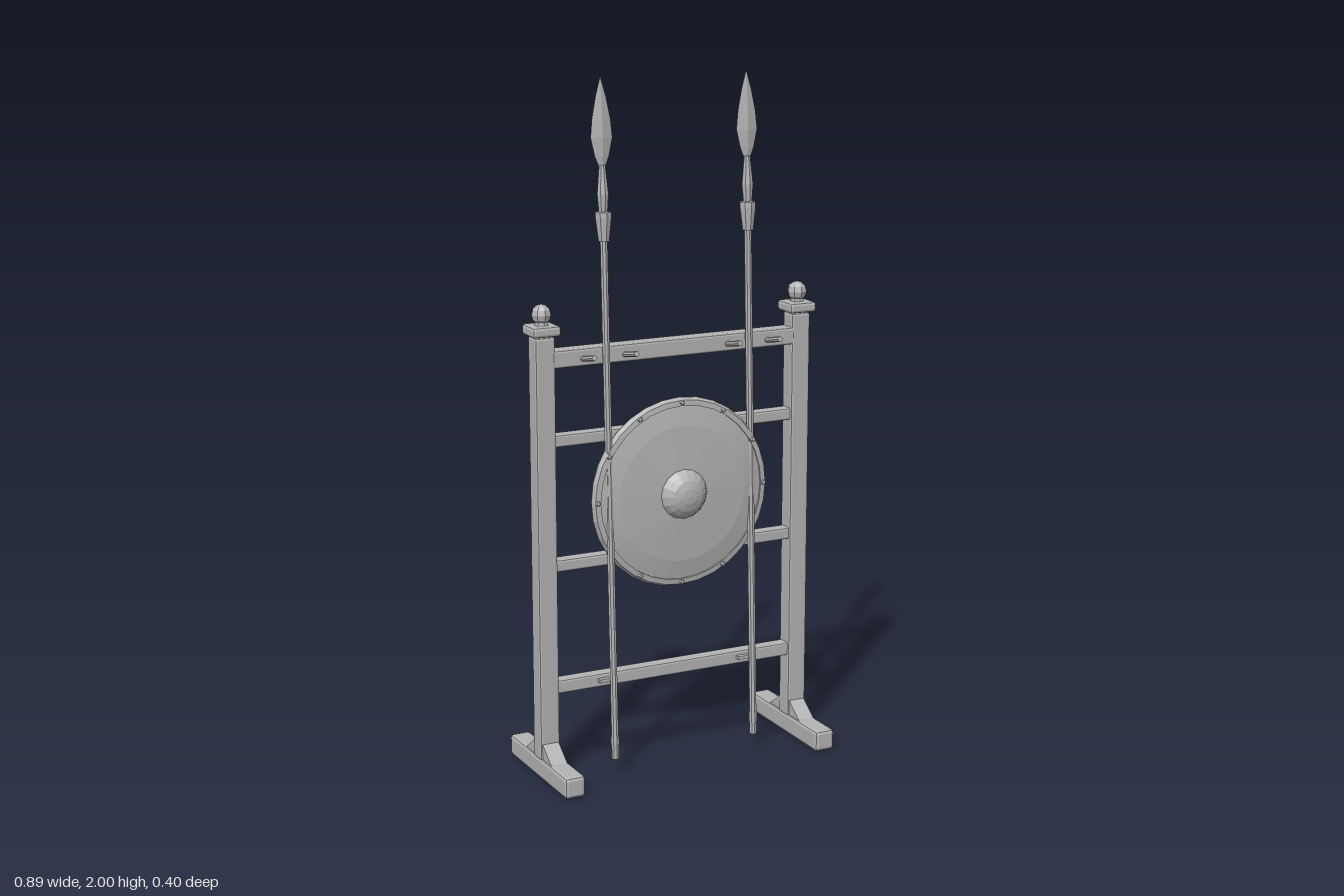
import * as THREE from 'three';
import { RoundedBoxGeometry } from 'three/addons/geometries/RoundedBoxGeometry.js';

const gray = new THREE.MeshStandardMaterial({ color: 0xb4b4b4, flatShading: true });
gray.name = 'plain gray';

function add(parent, name, geometry, x = 0, y = 0, z = 0) {
  const mesh = new THREE.Mesh(geometry, gray);
  mesh.name = name;
  mesh.position.set(x, y, z);
  parent.add(mesh);
  return mesh;
}

// Box with chamfered edges
const beam = (w, h, d, bevel = 0.007) => new RoundedBoxGeometry(w, h, d, 1, bevel);

// Revolved solid from [radius, height] pairs, bottom to top
const turned = (pairs, sides) =>
  new THREE.LatheGeometry(pairs.map(([r, y]) => new THREE.Vector2(r, y)), sides);

// Post with foot, braces, cap and ball finial
function createStand(x) {
  const stand = new THREE.Group();
  stand.name = 'stand';
  stand.position.x = x;
  add(stand, 'post', beam(0.06, 1.235, 0.056), 0, 0.675, 0);
  add(stand, 'foot', beam(0.062, 0.062, 0.4, 0.01), 0, 0.034, 0);
  const wedge = new THREE.Shape([
    new THREE.Vector2(0, 0), new THREE.Vector2(0.09, 0), new THREE.Vector2(0.025, 0.048), new THREE.Vector2(0, 0.048),
  ]);
  for (const side of [1, -1]) {
    const brace = new THREE.ExtrudeGeometry(wedge, { depth: 0.05, bevelEnabled: false });
    brace.translate(0, 0, -0.025);
    add(stand, 'brace', brace, 0, 0.062, 0).rotation.y = -side * Math.PI / 2;
  }
  add(stand, 'cap', beam(0.084, 0.03, 0.084, 0.008), 0, 1.31, 0);
  add(stand, 'finialNeck', new THREE.CylinderGeometry(0.018, 0.022, 0.015, 8), 0, 1.328, 0);
  add(stand, 'finial', new THREE.SphereGeometry(0.029, 8, 6), 0, 1.354, 0);
  return stand;
}

// Round shield, built facing +y and turned to face +z
function createShield() {
  const shield = new THREE.Group();
  shield.name = 'shield';
  shield.position.set(0, 0.81, 0);
  shield.rotation.x = Math.PI / 2;
  add(shield, 'board', turned([[0, 0.037], [0.268, 0.037], [0.262, 0.056], [0.2, 0.067], [0.07, 0.074], [0, 0.075]], 32));
  add(shield, 'rim', turned([[0.256, 0.037], [0.276, 0.037], [0.279, 0.046], [0.272, 0.06], [0.256, 0.062], [0.256, 0.037]], 32));
  // Central boss
  add(shield, 'boss', turned([[0.074, 0.07], [0.071, 0.078], [0.062, 0.091], [0.045, 0.103], [0.023, 0.11], [0, 0.112]], 16));
  // Rivets around the rim
  for (let i = 0; i < 12; i++) {
    const a = i * Math.PI / 6;
    add(shield, 'rivet', new THREE.SphereGeometry(0.008, 6, 4), 0.265 * Math.sin(a), 0.061, 0.265 * Math.cos(a));
  }
  return shield;
}

// Spear leaning on the rack, with its shaft along local y
function createSpear(x) {
  const spear = new THREE.Group();
  spear.name = 'spear';
  spear.position.set(x, 0.05, 0.083);
  spear.rotation.x = -0.037;
  add(spear, 'shaft', new THREE.CylinderGeometry(0.011, 0.011, 1.52, 8), 0, 0.76, 0);
  add(spear, 'buttCap', turned([[0, 0], [0.009, 0], [0.013, 0.05], [0.012, 0.07], [0, 0.07]], 8));
  add(spear, 'socket', turned([
    [0, 1.5], [0.016, 1.5], [0.024, 1.565], [0.024, 1.58], [0.013, 1.582],
    [0.017, 1.63], [0.011, 1.69], [0.009, 1.71], [0, 1.71],
  ], 8));
  // Leaf-shaped blade with a diamond cross-section
  const blade = turned([[0.008, 1.7], [0.022, 1.735], [0.033, 1.785], [0.028, 1.835], [0.016, 1.895], [0, 1.951]], 4);
  blade.scale(1, 1, 0.27);
  add(spear, 'blade', blade);
  return spear;
}

export function createModel() {
  const model = new THREE.Group();
  model.name = 'weaponRack';

  for (const side of [-1, 1]) {
    model.add(createStand(side * 0.405));
    model.add(createSpear(side * 0.226));

    // Hanging pegs on the top rail
    for (const x of [0.163, 0.292]) {
      const peg = add(model, 'peg', new THREE.CylinderGeometry(0.008, 0.008, 0.085, 8), side * x, 1.231, 0.063);
      peg.rotation.x = Math.PI / 2 - 0.2;
    }
    // Spear rest on the bottom rail
    add(model, 'spearRest', new THREE.BoxGeometry(0.05, 0.01, 0.016), side * 0.226, 0.272, 0.027);
  }

  // Cross rails: [centre height, height, depth]
  for (const [y, h, d] of [[1.227, 0.05, 0.054], [0.993, 0.035, 0.042], [0.63, 0.035, 0.042], [0.27, 0.04, 0.042]]) {
    add(model, 'rail', beam(0.77, h, d, 0.006), 0, y, 0);
  }

  model.add(createShield());
  // Hanger behind the shield
  const hanger = add(model, 'shieldHanger', new THREE.CylinderGeometry(0.018, 0.018, 0.014, 8), 0, 1.04, 0.033);
  hanger.rotation.x = Math.PI / 2;
  return model;
}
